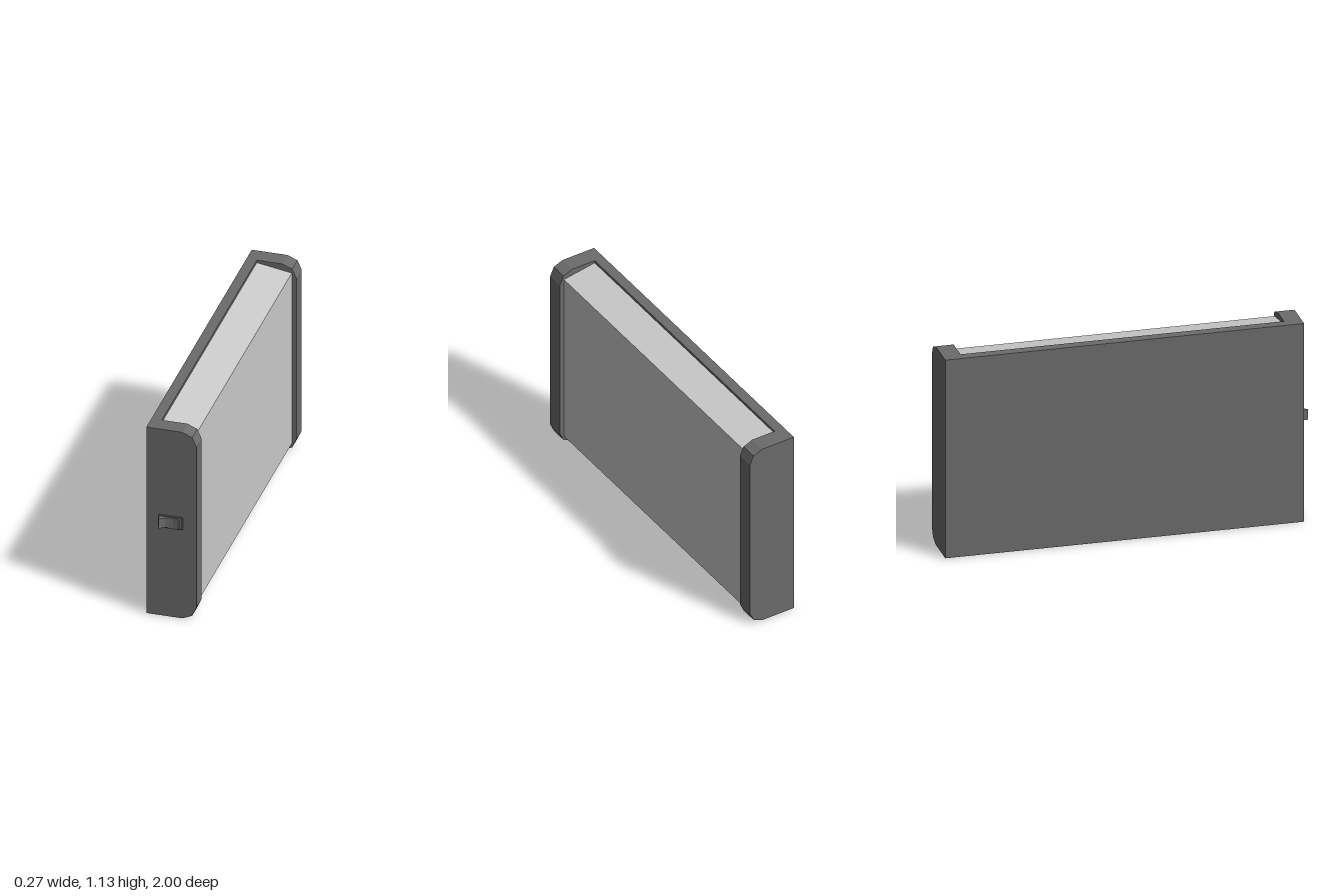
import * as THREE from 'three';

const H = 1.128, BACK = -0.137, PLATE = -0.08;

export function createModel() {
  const model = new THREE.Group();
  const dark = new THREE.MeshStandardMaterial({ color: 0x6c6c6c, flatShading: true });
  const light = new THREE.MeshStandardMaterial({ color: 0xcccccc, flatShading: true });

  const add = (name, geometry, material) => {
    const mesh = new THREE.Mesh(geometry, material);
    mesh.name = name;
    model.add(mesh);
    return mesh;
  };
  // Outline in x,y swept from z0 to z1
  const prism = (points, z0, z1) => {
    const shape = new THREE.Shape(points.map(([x, y]) => new THREE.Vector2(x, y)));
    return new THREE.ExtrudeGeometry(shape, { depth: z1 - z0, bevelEnabled: false }).translate(0, 0, z0);
  };
  const box = (x0, x1, y0, y1, z0, z1) =>
    new THREE.BoxGeometry(x1 - x0, y1 - y0, z1 - z0)
      .translate((x0 + x1) / 2, (y0 + y1) / 2, (z0 + z1) / 2);

  // End caps with faceted outer corners
  const cap = [
    [BACK, 0], [0.06, 0], [0.114, 0.023], [0.137, 0.075],
    [0.137, H - 0.075], [0.114, H - 0.023], [0.06, H], [BACK, H],
  ];
  add('frontEndCap', prism(cap, 0.86, 0.955), dark);
  add('rearEndCap', prism(cap, -1, -0.902), dark);

  // Back plate joining the caps
  add('backPlate', box(BACK, PLATE, 0, H, -0.902, 0.86), dark);

  // Panel between the caps, tapering slightly away from the plate
  add('panel', prism([
    [PLATE, 0.015], [0.112, 0.047], [0.112, H - 0.047], [PLATE, H - 0.015],
  ], -0.902, 0.86), light);

  // Switch surround: a thin raised rim
  const rim = new THREE.Shape([[-0.071, 0.537], [0.063, 0.537], [0.063, 0.612], [-0.071, 0.612]]
    .map(([x, y]) => new THREE.Vector2(x, y)));
  rim.holes.push(new THREE.Path([[-0.065, 0.543], [-0.065, 0.606], [0.057, 0.606], [0.057, 0.543]]
    .map(([x, y]) => new THREE.Vector2(x, y))));
  add('switchSurround', new THREE.ExtrudeGeometry(rim, { depth: 0.008, bevelEnabled: false })
    .translate(0, 0, 0.954), dark);

  // Rocker with a hollow curved face, outline in x and -z swept upwards
  const rocker = prism([
    [0.056, -0.95], [-0.064, -0.95], [-0.064, -0.962], [-0.058, -0.998], [-0.046, -0.984],
    [-0.03, -0.974], [-0.01, -0.968], [0.012, -0.966], [0.034, -0.968], [0.053, -0.973],
  ], 0.545, 0.604).rotateX(-Math.PI / 2);
  add('switchRocker', rocker, dark);

  return model;
}
